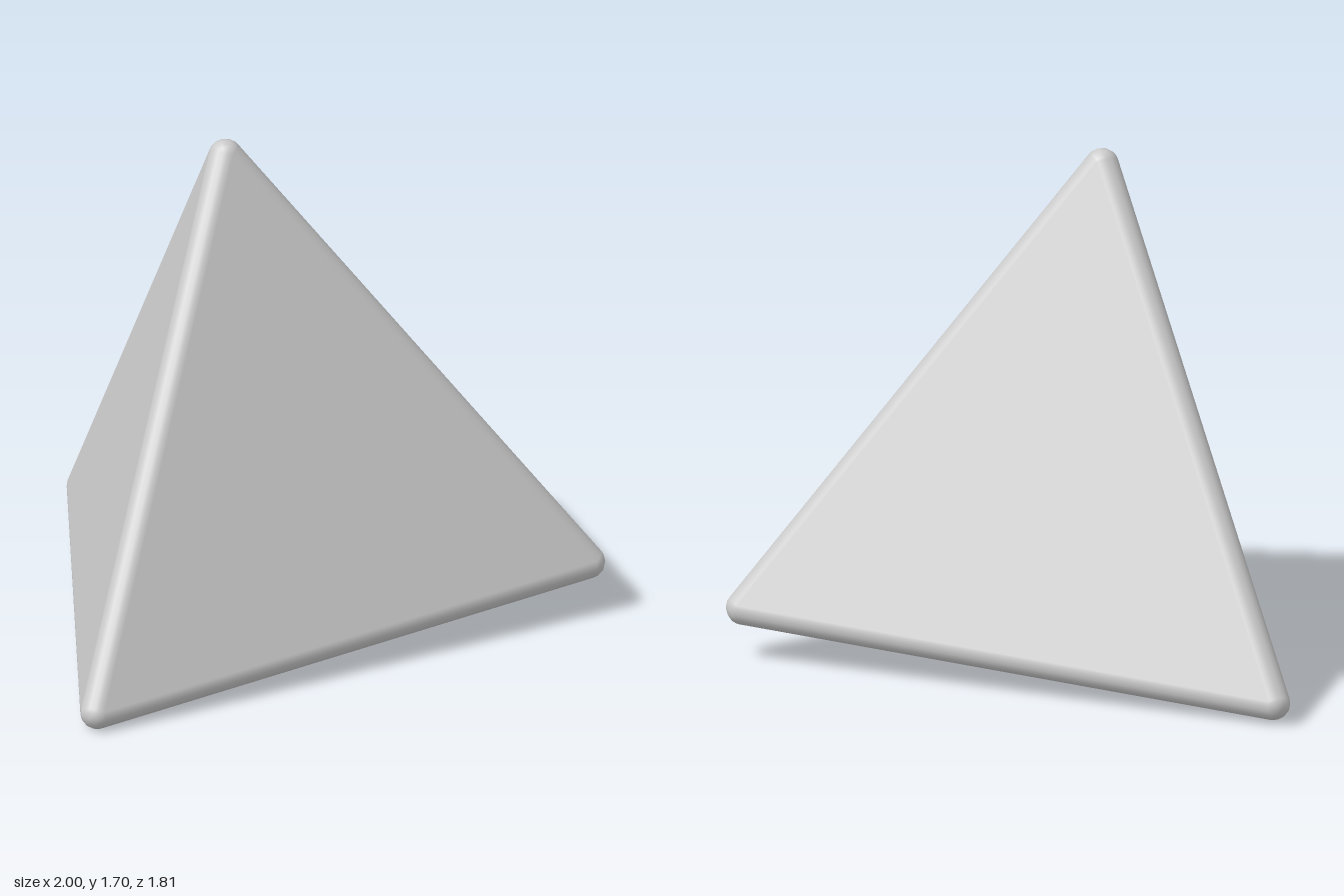
import * as THREE from 'three';

const R = 0.055; // rounding radius of edges and corners
const N = 8; // segments across each rounding

// Centres of the four corner balls: top, front right-hand, front left-hand, back
const CORNERS = [
  [-0.135, 1.645, 0.21],
  [-0.945, 0.055, 0.85],
  [0.945, 0.175, 0.72],
  [-0.107, 0.066, -0.85],
].map((p) => new THREE.Vector3(...p));

// Outward normal of the face opposite corner i
function faceNormal(i) {
  const [a, b, c] = CORNERS.filter((_, k) => k !== i);
  const n = b.clone().sub(a).cross(c.clone().sub(a)).normalize();
  return n.dot(CORNERS[i].clone().sub(a)) > 0 ? n.negate() : n;
}
const NORMALS = CORNERS.map((_, i) => faceNormal(i));

// A surface point: a corner centre pushed out along a normal
const point = (corner, n) => ({ p: CORNERS[corner].clone().addScaledVector(n, R), n });

// Collects triangles, turning each one to face outward
class Surface {
  positions = [];
  normals = [];
  tri(a, b, c) {
    const turn = b.p.clone().sub(a.p).cross(c.p.clone().sub(a.p));
    const out = a.n.clone().add(b.n).add(c.n);
    for (const v of turn.dot(out) < 0 ? [a, c, b] : [a, b, c]) {
      this.positions.push(...v.p);
      this.normals.push(...v.n);
    }
  }
  mesh(name, material) {
    const g = new THREE.BufferGeometry();
    g.setAttribute('position', new THREE.Float32BufferAttribute(this.positions, 3));
    g.setAttribute('normal', new THREE.Float32BufferAttribute(this.normals, 3));
    const m = new THREE.Mesh(g, material);
    m.name = name;
    return m;
  }
}

export function createModel() {
  const group = new THREE.Group();
  group.name = 'fourSidedDie';
  const material = new THREE.MeshStandardMaterial({ color: 0xcccccc });
  const ids = [0, 1, 2, 3];

  for (const i of ids) {
    const others = ids.filter((k) => k !== i);

    // Flat face opposite corner i
    const face = new Surface();
    face.tri(...others.map((k) => point(k, NORMALS[i])));
    group.add(face.mesh('face' + (i + 1), material));

    // Ball patch at corner i, spanning the normals of its three faces
    const corner = new Surface();
    const [na, nb, nc] = others.map((k) => NORMALS[k]);
    const at = (u, v) => point(i, new THREE.Vector3()
      .addScaledVector(na, N - u - v).addScaledVector(nb, u).addScaledVector(nc, v).normalize());
    for (let u = 0; u < N; u++) {
      for (let v = 0; v < N - u; v++) {
        corner.tri(at(u, v), at(u + 1, v), at(u, v + 1));
        if (u + v < N - 1) corner.tri(at(u + 1, v), at(u + 1, v + 1), at(u, v + 1));
      }
    }
    group.add(corner.mesh('roundedCorner' + (i + 1), material));

    // Rounded edges from corner i to each later corner
    for (const j of others.filter((k) => k > i)) {
      const [f, g] = others.filter((k) => k !== j);
      const normal = (t) => NORMALS[f].clone().lerp(NORMALS[g], t / N).normalize();
      const edge = new Surface();
      for (let t = 0; t < N; t++) {
        const n0 = normal(t), n1 = normal(t + 1);
        edge.tri(point(i, n0), point(j, n0), point(j, n1));
        edge.tri(point(i, n0), point(j, n1), point(i, n1));
      }
      group.add(edge.mesh(`roundedEdge${i + 1}${j + 1}`, material));
    }
  }
  return group;
}
